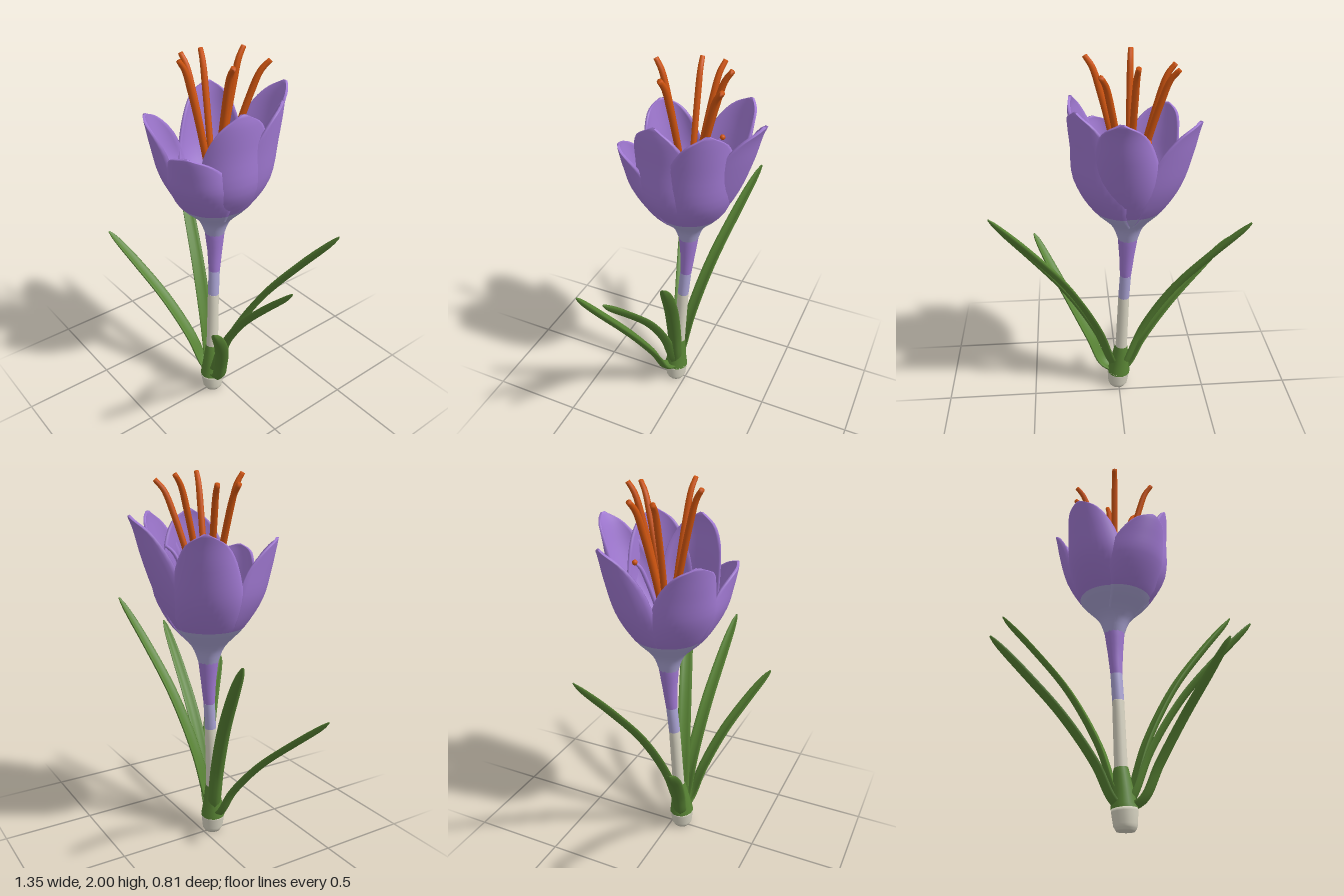
import * as THREE from 'three';

const V = (x, y, z) => new THREE.Vector3(x, y, z);
const mat = (name, color) => {
  const m = new THREE.MeshStandardMaterial({ color });
  m.name = name;
  return m;
};

function build(positions, index) {
  const g = new THREE.BufferGeometry();
  g.setAttribute('position', new THREE.Float32BufferAttribute(positions, 3));
  g.setIndex(index);
  g.computeVertexNormals();
  return g;
}

// Sweeps a closed section (list of [side, normal] offsets at t) along a smooth path
function sweep(points, rings, section, sideHint, caps = true) {
  const curve = new THREE.CatmullRomCurve3(points);
  const pos = [], idx = [];
  let n = 0;
  for (let i = 0; i <= rings; i++) {
    const t = i / rings;
    const p = curve.getPoint(t), T = curve.getTangent(t);
    const S = sideHint.clone().addScaledVector(T, -sideHint.dot(T)).normalize();
    const N = T.clone().cross(S);
    const loop = section(t);
    n = loop.length;
    for (const [a, b] of loop) {
      const q = p.clone().addScaledVector(S, a).addScaledVector(N, b);
      pos.push(q.x, q.y, q.z);
    }
  }
  for (let i = 0; i < rings; i++) {
    for (let k = 0; k < n; k++) {
      const a = i * n + k, b = i * n + (k + 1) % n;
      idx.push(a, b, a + n, b, b + n, a + n);
    }
  }
  if (caps) {
    const last = rings * n;
    for (let k = 1; k < n - 1; k++) idx.push(0, k + 1, k, last, last + k, last + k + 1);
  }
  return build(pos, idx);
}

const ring = (r, n) => Array.from({ length: n }, (_, k) => {
  const a = k / n * Math.PI * 2;
  return [Math.cos(a) * r, Math.sin(a) * r];
});

// Round tube whose radius runs evenly through a list of values
function tube(points, radii, sides, rings, caps) {
  const radius = t => {
    const f = t * (radii.length - 1), i = Math.min(Math.floor(f), radii.length - 2);
    return THREE.MathUtils.lerp(radii[i], radii[i + 1], f - i);
  };
  return sweep(points, rings, t => ring(radius(t), sides), V(1, 0, 0), caps);
}

// Grooved blade arching from the base to a blunt tip; bow bends it sideways
function leaf(tip, bow) {
  const base = V(0, 0.1, 0.06);
  const steps = [[0.07, 0.17], [0.18, 0.35], [0.42, 0.6], [0.72, 0.82], [1, 1]];
  const path = [base, ...steps.map(([f, h]) =>
    V(tip.x * f ** bow, tip.y * h, base.z + (tip.z - base.z) * f))];
  const out = V(tip.x, 0, tip.z - base.z).normalize();
  const section = t => {
    const end = Math.sqrt(Math.max(0.05, 1 - t ** 16));
    const w = (0.034 + 0.02 * t * (1 - t) - 0.01 * t ** 3) * end;
    return ring(1, 12).map(([a, b]) =>
      [a * w, b * (b > 0 ? 0.009 : 0.016) * end + 0.016 * (Math.abs(a) - 0.5) * end]);
  };
  return sweep(path, 36, section, V(0, 1, 0).cross(out));
}

const AXIS = V(-0.045, 0, 0);

// Thick cupped petal: each profile point holds radius, height and half width;
// curl is the radius of its cupped cross-section near the top
function petal(tip, belly, curl) {
  const dx = tip.x - AXIS.x, dz = tip.z - AXIS.z;
  const R = Math.hypot(dx, dz), angle = Math.atan2(dz, dx), H = tip.y;
  const rows = 24, cols = 16, paleRows = 8, thickness = 0.012;
  const mid = (belly + R) / 2 + 0.005;
  const profile = new THREE.CatmullRomCurve3([
    V(0.05, 1.03, 0.045), V(0.085, 1.12, 0.085), V(belly * 0.67, 1.235, 0.145),
    V(belly, 1.39, 0.215),
    V(mid, 1.39 + (H - 1.39) * 0.5, 0.19),
    V((mid + R) / 2 + 0.006, 1.39 + (H - 1.39) * 0.84, 0.11),
    V(R, H, 0.01),
  ]);
  const pos = [], idx = [], n = cols + 1, m = n * (rows + 1);
  for (let i = 0; i <= rows; i++) {
    const p = profile.getPoint(i / rows);
    const rise = THREE.MathUtils.smoothstep(p.y, 1.35, H);
    const rho = Math.min(p.x * 0.95, THREE.MathUtils.lerp(0.2, curl, rise));
    for (let j = 0; j <= cols; j++) {
      const phi = (j / cols * 2 - 1) * p.z / rho;
      const r = p.x - rho * (1 - Math.cos(phi)), s = rho * Math.sin(phi);
      pos.push(AXIS.x + r * Math.cos(angle) - s * Math.sin(angle), p.y,
        AXIS.z + r * Math.sin(angle) + s * Math.cos(angle));
    }
  }
  for (let i = 0; i < rows; i++) {
    for (let j = 0; j < cols; j++) {
      const a = i * n + j;
      idx.push(a, a + n, a + 1, a + 1, a + n, a + n + 1);
    }
  }
  // Inner face follows the outer one at a fixed depth
  const normals = build(pos, idx).attributes.normal.array;
  const all = pos.concat(pos.map((c, k) => c - normals[k] * thickness));
  const inner = [];
  for (let k = 0; k < idx.length; k += 3) inner.push(idx[k] + m, idx[k + 2] + m, idx[k + 1] + m);
  // Rim along both sides and the tip
  const quad = (p, u, v, q) => inner.push(p, u, v, u, q, v);
  for (let i = 0; i < rows; i++) {
    const a = i * n, b = a + cols;
    quad(a + m, a + n + m, a, a + n);
    quad(b + m, b, b + n + m, b + n);
  }
  for (let j = 0; j < cols; j++) {
    const a = rows * n + j;
    quad(a + m, a + 1 + m, a, a + 1);
  }
  const g = build(all, idx.concat(inner)), split = paleRows * cols * 6;
  g.addGroup(0, split, 0);
  g.addGroup(split, idx.length + inner.length - split, 1);
  return g;
}

// Filament rising from the throat and curling outward
function filament(tip, radius) {
  const foot = V(AXIS.x, 1.12, AXIS.z);
  const steps = [[0, 0], [0.16, 0.28], [0.39, 0.55], [0.66, 0.81], [0.83, 0.94], [1, 1]];
  const path = steps.map(([f, h]) => V(
    foot.x + (tip.x - foot.x) * f, foot.y + (tip.y - foot.y) * h, foot.z + (tip.z - foot.z) * f));
  return tube(path, [radius * 0.9, radius, radius, radius * 0.75], 8, 20, true);
}

export function createModel() {
  const model = new THREE.Group();
  model.name = 'flower';
  const purple = mat('petal purple', 0xa27ad4);
  const pale = mat('pale lilac', 0xaca5d6);
  const cream = mat('cream', 0xd9d5c3);
  const green = mat('leaf green', 0x588334);
  const orange = mat('stigma orange', 0xcf540f);
  const pink = mat('throat pink', 0xb5788f);
  const add = (name, geometry, material, parent = model) => {
    const mesh = new THREE.Mesh(geometry, material);
    mesh.name = name;
    parent.add(mesh);
  };
  const group = name => {
    const g = new THREE.Group();
    g.name = name;
    model.add(g);
    return g;
  };

  // Rounded bulb foot and the leaning stem, one band per colour
  add('bulbFoot', tube([V(0.005, 0, 0.06), V(0.005, 0.02, 0.06), V(0.003, 0.06, 0.06), V(0, 0.105, 0.06)],
    [0.045, 0.057, 0.062, 0.066], 14, 9, true), cream);
  add('sheath', tube([V(0, 0.1, 0.06), V(-0.005, 0.18, 0.055), V(-0.015, 0.3, 0.045)],
    [0.067, 0.054, 0.037], 14, 8, false), green);
  add('lowerStem', tube([V(-0.014, 0.28, 0.046), V(-0.027, 0.65, 0.025)],
    [0.034, 0.031], 14, 6, false), cream);
  add('middleStem', tube([V(-0.027, 0.65, 0.025), V(-0.035, 0.8, 0.012)],
    [0.031, 0.031], 14, 3, false), pale);
  add('flowerTube', tube([V(-0.035, 0.8, 0.012), V(-0.04, 0.92, 0.004), V(-0.045, 1.045, 0)],
    [0.031, 0.04, 0.054], 14, 6, false), purple);
  add('throat', tube([V(-0.045, 1.03, 0), V(-0.045, 1.2, 0), V(-0.045, 1.45, 0)],
    [0.046, 0.02, 0.014], 10, 8, true), pink);

  // Five arching leaves
  const leaves = group('leaves');
  [[-0.65, 1.2, -0.19, 1], [-0.67, 0.85, 0.3, 0.9], [0.65, 1.27, -0.19, 1],
    [0.67, 1.09, 0.11, 1], [0.47, 0.87, 0.4, 0.62]]
    .forEach(([x, y, z, bow]) => add('leaf', leaf(V(x, y, z), bow), green, leaves));

  // Six overlapping petals, each with its own belly radius and curl
  const petals = group('petals');
  [[0.02, 1.8, -0.405, 0.268, 0.13], [0.22, 1.8, -0.21, 0.285, 0.18], [0.24, 1.8, 0.05, 0.28, 0.24],
    [0.13, 1.61, 0.3, 0.295, 0.14], [-0.275, 1.69, 0.26, 0.28, 0.14], [-0.365, 1.74, -0.205, 0.28, 0.14]]
    .forEach(([x, y, z, belly, curl]) =>
      add('petal', petal(V(x, y, z), belly, curl), [pale, purple], petals));

  // Long curling stigmas and two short inner stamens
  const stigmas = group('stigmas');
  [[-0.07, 1.99, 0.18], [0.16, 1.99, 0.05], [-0.27, 1.95, 0.03], [-0.27, 1.95, -0.09],
    [0.1, 1.96, -0.22], [-0.07, 1.99, -0.2]]
    .forEach(p => add('stigma', filament(V(...p), 0.017), orange, stigmas));
  const stamens = group('stamens');
  [[-0.13, 1.62, -0.14], [0.07, 1.64, -0.18]]
    .forEach(p => add('stamen', filament(V(...p), 0.011), purple, stamens));
  add('stamenTip', new THREE.SphereGeometry(0.014, 10, 8).translate(-0.13, 1.62, -0.14), orange, stamens);
  return model;
}
